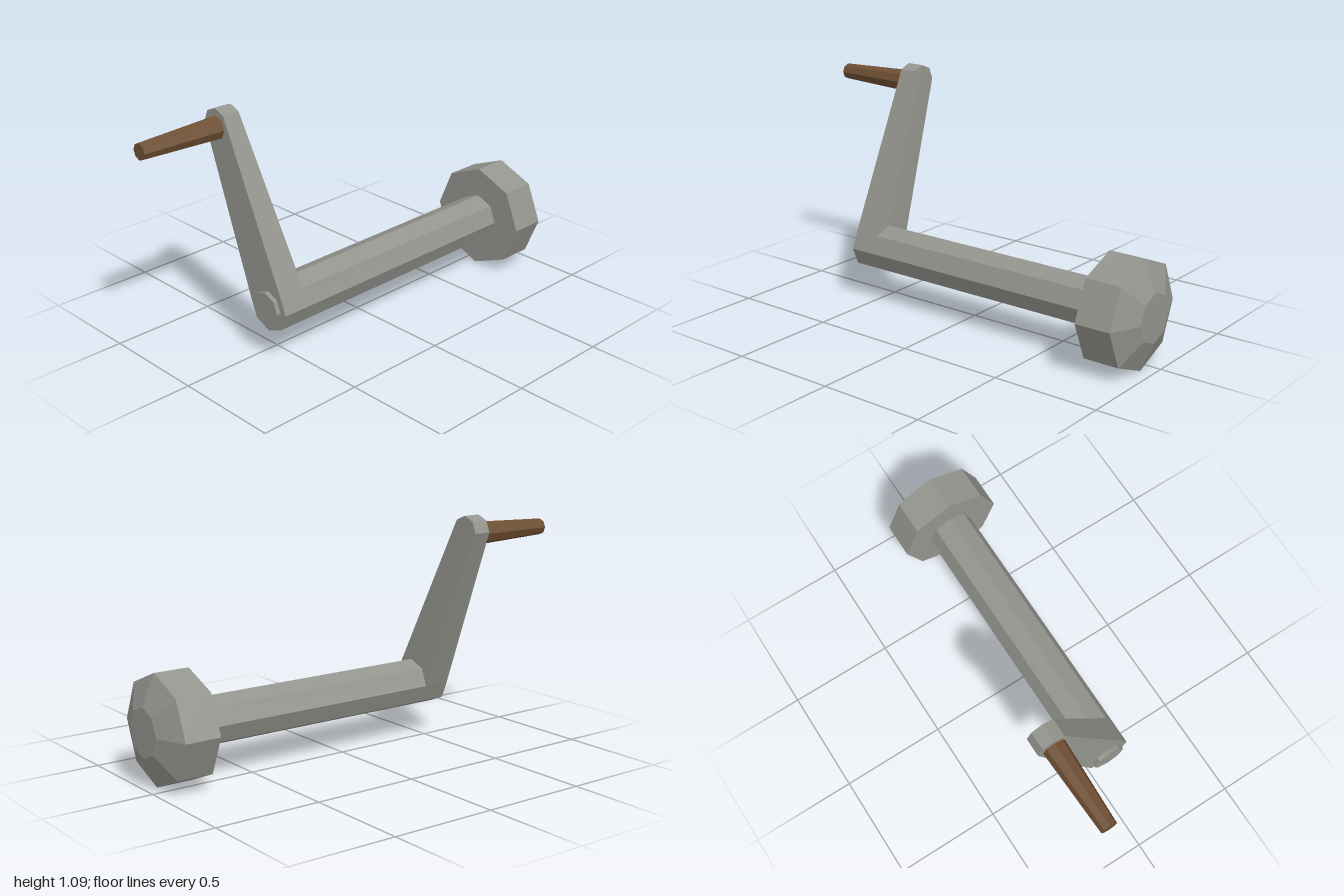
import * as THREE from 'three';

const AXIS = { y: 0.252, z: 0.068 };   // centre line of the shaft
const TIP = { y: 1.012, z: -0.245 };   // centre of the arm's far end
const GRIP = { y: 1.0, z: -0.242 };    // centre line of the wooden grip
const SIDES = 8;

export function createModel() {
  const model = new THREE.Group();
  const metal = new THREE.MeshStandardMaterial({ color: 0x94948e, flatShading: true });
  const wood = new THREE.MeshStandardMaterial({ color: 0x6e4f33, flatShading: true });

  const add = (name, geometry, material) => {
    const mesh = new THREE.Mesh(geometry, material);
    mesh.name = name;
    model.add(mesh);
  };

  // Octagonal rod along x from x0 (radius r0) to x1 (radius r1)
  const rod = (x0, x1, r0, r1, centre) =>
    new THREE.CylinderGeometry(r1, r0, x1 - x0, SIDES)
      .rotateZ(-Math.PI / 2)
      .translate((x0 + x1) / 2, centre.y, centre.z);

  add('shaft', rod(-0.6, 0.78, 0.113, 0.113, AXIS), metal);
  add('shaftEndCap', rod(-0.62, -0.59, 0.08, 0.08, AXIS), metal);
  add('grip', rod(-1, -0.59, 0.038, 0.054, GRIP), wood);

  // Knob with a bevelled outer face
  const profile = [[0, 0.77], [0.252, 0.77], [0.252, 0.94], [0.113, 1], [0, 1]]
    .map(([r, h]) => new THREE.Vector2(r, h));
  add('knob', new THREE.LatheGeometry(profile, SIDES)
    .rotateZ(-Math.PI / 2)
    .translate(0, AXIS.y, AXIS.z), metal);

  // Crank arm: a box whose ends follow three sides of the shaft and tip octagons
  const arm = new THREE.BoxGeometry(1, 1, 1, 1, 1, 3);
  const pos = arm.attributes.position;
  for (let i = 0; i < pos.count; i++) {
    const atTip = pos.getY(i) > 0;
    const centre = atTip ? TIP : AXIS;
    const radius = atTip ? 0.075 : 0.113;
    const angle = (1 + Math.round((0.5 - pos.getZ(i)) * 3)) * Math.PI / 4;
    const inner = atTip ? -0.515 : -0.47;
    pos.setXYZ(i,
      pos.getX(i) > 0 ? inner : -0.6,
      centre.y + radius * Math.sin(angle),
      centre.z + radius * Math.cos(angle));
  }
  arm.computeVertexNormals();
  add('crankArm', arm, metal);

  return model;
}
